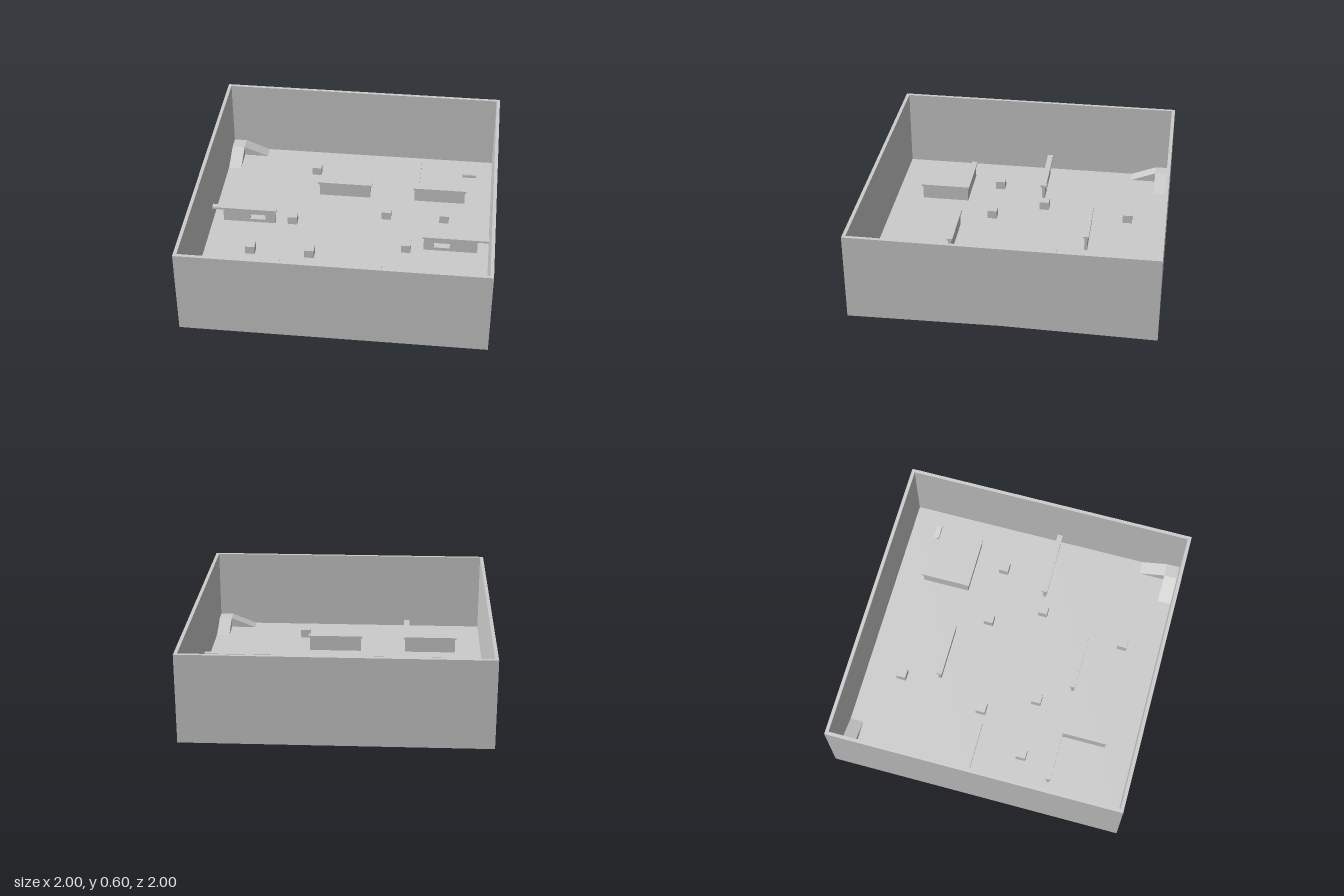
import * as THREE from 'three';

const FLOOR = 0.05, INNER = 0.977;
const material = new THREE.MeshStandardMaterial({ color: 0xcccccc, flatShading: true });

function add(parent, name, geometry, x = 0, y = 0, z = 0) {
  const mesh = new THREE.Mesh(geometry, material);
  mesh.name = name;
  mesh.position.set(x, y, z);
  parent.add(mesh);
  return mesh;
}

// Box given by its extents on each axis
function block(parent, name, [x0, x1], [y0, y1], [z0, z1]) {
  return add(parent, name, new THREE.BoxGeometry(x1 - x0, y1 - y0, z1 - z0),
    (x0 + x1) / 2, (y0 + y1) / 2, (z0 + z1) / 2);
}

function polygon(points) {
  return new THREE.Shape(points.map(([x, y]) => new THREE.Vector2(x, y)));
}

function prism(points, depth, holes = []) {
  const shape = polygon(points);
  shape.holes = holes.map(polygon);
  return new THREE.ExtrudeGeometry(shape, { depth, bevelEnabled: false });
}

function rect(x0, x1, y0, y1) {
  return [[x0, y0], [x1, y0], [x1, y1], [x0, y1]];
}

// Cover wall: a thin panel under a wider cap
const PANEL_TOP = 0.15, CAP_TOP = 0.165;
function coverWall(parent, x, z) {
  const t = 0.01;
  block(parent, 'coverPanel', [x[0] + t, x[1] - t], [FLOOR, PANEL_TOP], [z[0] + t, z[1] - t]);
  block(parent, 'coverCap', x, [PANEL_TOP, CAP_TOP], z);
}

// Everything that repeats on both halves of the arena
function createHalf() {
  const half = new THREE.Group();
  half.name = 'arenaHalf';

  // Straight cover and L-shaped cover
  coverWall(half, [-0.27, 0.12], [-0.48, -0.44]);
  const corner = new THREE.Group();
  corner.name = 'cornerCover';
  half.add(corner);
  block(corner, 'cornerPanelLong', [0.43, 0.79], [FLOOR, PANEL_TOP], [-0.47, -0.45]);
  block(corner, 'cornerPanelShort', [0.43, 0.45], [FLOOR, PANEL_TOP], [-0.78, -0.47]);
  const cap = prism([[0.42, 0.44], [0.8, 0.44], [0.8, 0.48], [0.46, 0.48], [0.46, 0.79], [0.42, 0.79]],
    CAP_TOP - PANEL_TOP);
  add(corner, 'cornerCap', cap, 0, PANEL_TOP).rotation.x = -Math.PI / 2;

  // Side wall with a window and a passage beside the arena wall
  add(half, 'windowPanel', prism(rect(-0.9, -0.53, FLOOR, PANEL_TOP), 0.02,
    [rect(-0.71, -0.6, 0.075, 0.115)]), 0, 0, -0.1);
  block(half, 'windowCap', [-INNER, -0.52], [PANEL_TOP, CAP_TOP], [-0.11, -0.07]);

  // Crates
  const s = 0.033;
  for (const [x, z] of [[-0.31, -0.72], [0.245, -0.24], [0.655, -0.24], [-0.41, -0.115]]) {
    block(half, 'crate', [x - s, x + s], [FLOOR, FLOOR + 0.06], [z - s, z + s]);
  }

  // Corner platform with a ramp along each wall
  const top = 0.12, inner = -0.885, end = -0.71;
  block(half, 'cornerPlatform', [-INNER, inner], [FLOOR, top], [-INNER, inner]);
  const slope = [[inner, FLOOR], [end, FLOOR], [inner, top]];
  add(half, 'cornerRampX', prism(slope, INNER + inner), 0, 0, -INNER);
  const mirrored = slope.map(([z, y]) => [-z, y]);
  add(half, 'cornerRampZ', prism(mirrored, INNER + inner), -INNER).rotation.y = Math.PI / 2;
  return half;
}

export function createModel() {
  const model = new THREE.Group();
  model.name = 'arena';

  // Floor slab, its underside slightly raised at the middle of one edge
  const slab = new THREE.BoxGeometry(2, FLOOR, 2, 1, 1, 2);
  const p = slab.attributes.position;
  for (let i = 0; i < p.count; i++) {
    if (p.getX(i) > 0.9 && p.getY(i) < 0 && Math.abs(p.getZ(i)) < 0.1) p.setY(i, 0.015 - FLOOR / 2);
  }
  slab.computeVertexNormals();
  add(model, 'floor', slab, 0, FLOOR / 2);

  // Outer wall
  const wall = prism(rect(-1, 1, -1, 1), 0.6 - FLOOR, [rect(-INNER, INNER, -INNER, INNER)]);
  add(model, 'outerWall', wall, 0, FLOOR).rotation.x = -Math.PI / 2;

  // Two halves with half-turn symmetry
  const half = createHalf();
  const opposite = half.clone();
  opposite.rotation.y = Math.PI;
  model.add(half, opposite);

  // Low wedge on the floor
  const wedge = prism([[0.77, FLOOR], [0.81, FLOOR], [0.77, FLOOR + 0.02]], 0.1);
  add(model, 'floorWedge', wedge, 0.765).rotation.y = Math.PI / 2;
  return model;
}
